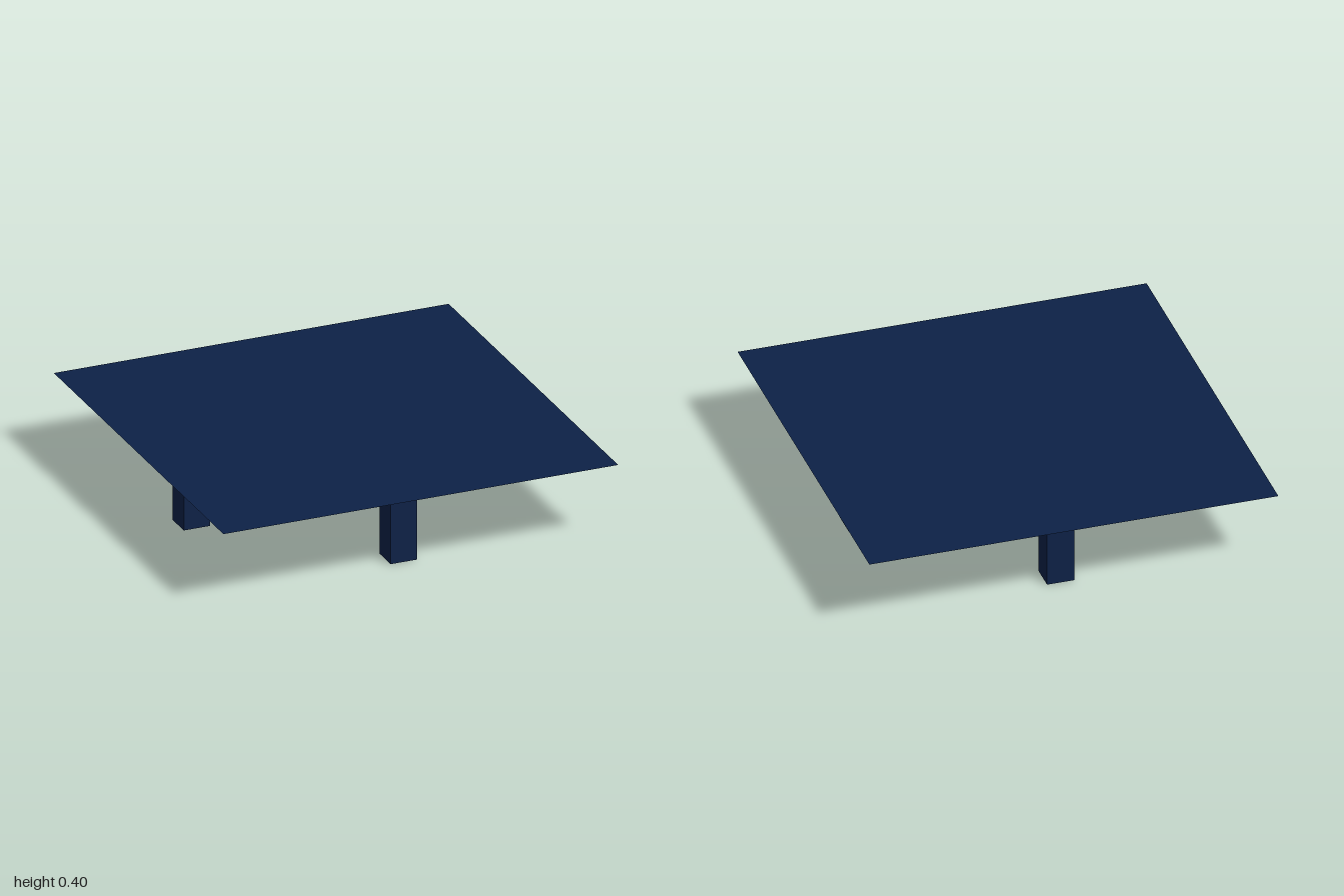
import * as THREE from 'three';

const HEIGHT = 0.4;      // table top level
const LEG_WIDTH = 0.133; // square tube width
const LEG_OFFSET = 0.733; // leg distance from the centre

export function createModel() {
  const model = new THREE.Group();
  model.name = 'table';
  const navy = new THREE.MeshStandardMaterial({ color: 0x0d2147, side: THREE.DoubleSide });
  navy.name = 'navy';

  // Paper-thin square top
  const topGeometry = new THREE.PlaneGeometry(2, 2).rotateX(-Math.PI / 2);
  const top = new THREE.Mesh(topGeometry, navy);
  top.name = 'tableTop';
  top.position.y = HEIGHT;
  model.add(top);

  // Open square tubes, one under the middle of each side
  const legGeometry = new THREE.CylinderGeometry(
    LEG_WIDTH / Math.SQRT2, LEG_WIDTH / Math.SQRT2, HEIGHT, 4, 1, true
  ).rotateY(Math.PI / 4).toNonIndexed();
  legGeometry.computeVertexNormals();
  const places = { frontLeg: [0, 1], backLeg: [0, -1], leftLeg: [1, 0], rightLeg: [-1, 0] };
  for (const [name, [x, z]] of Object.entries(places)) {
    const leg = new THREE.Mesh(legGeometry, navy);
    leg.name = name;
    leg.position.set(x * LEG_OFFSET, HEIGHT / 2, z * LEG_OFFSET);
    model.add(leg);
  }
  return model;
}
